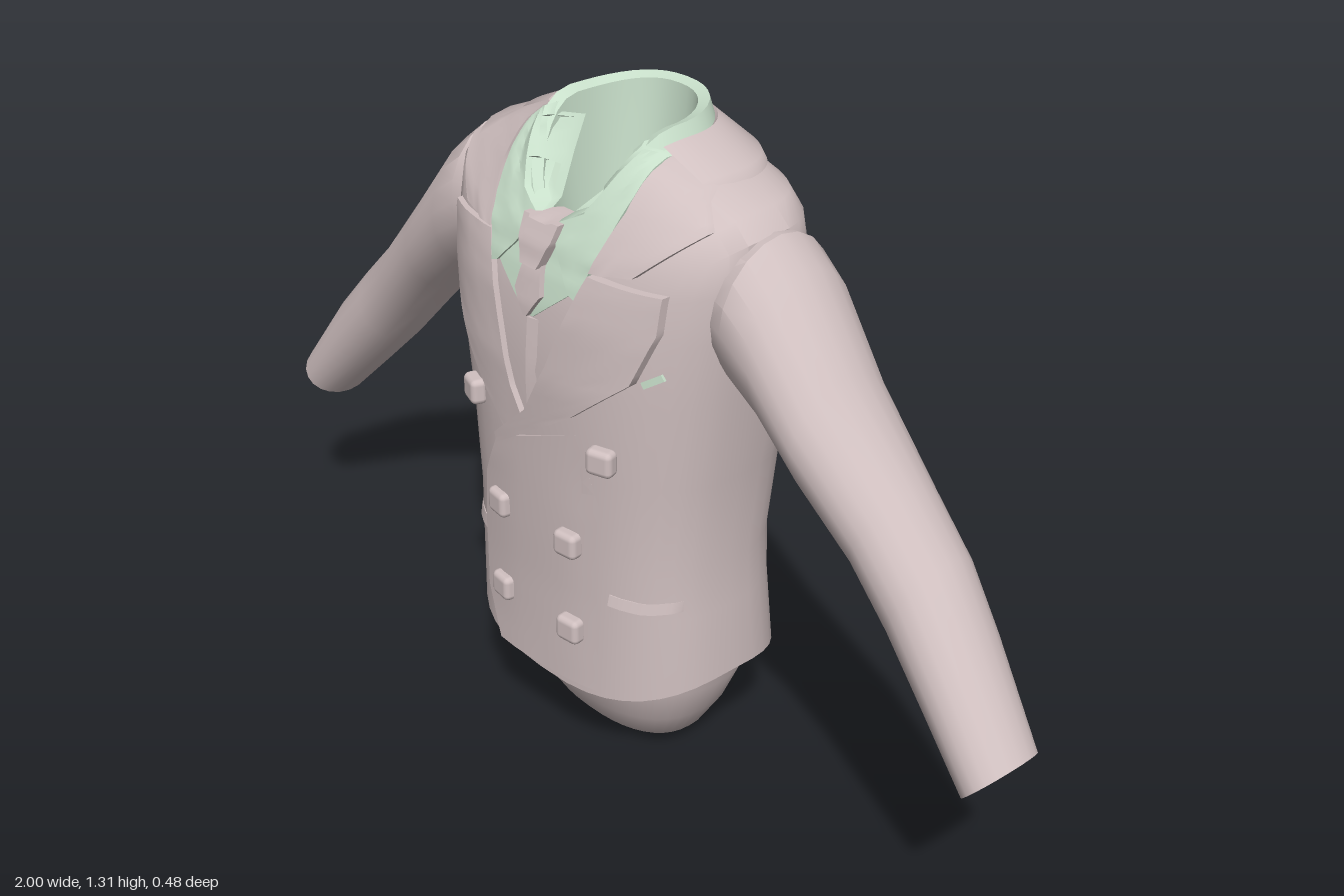
import * as THREE from 'three';
import { toCreasedNormals } from 'three/addons/utils/BufferGeometryUtils.js';
import { RoundedBoxGeometry } from 'three/addons/geometries/RoundedBoxGeometry.js';

const cloth = new THREE.MeshStandardMaterial({ color: 0xd0c0c0 });
cloth.name = 'dusty pink cloth';
const shirt = new THREE.MeshStandardMaterial({ color: 0xc8dfca });
shirt.name = 'pale green shirt';

// Skin a grid of points (rows of equal length) with quads.
function skin(rows, closed, flip) {
  const n = rows[0].length, index = [];
  for (let i = 0; i < rows.length - 1; i++) {
    for (let j = 0; j < (closed ? n : n - 1); j++) {
      const a = i * n + j, b = i * n + (j + 1) % n, c = a + n, d = b + n;
      if (flip) index.push(a, c, b, b, c, d);
      else index.push(a, b, c, b, d, c);
    }
  }
  const g = new THREE.BufferGeometry();
  g.setAttribute('position', new THREE.Float32BufferAttribute(rows.flat(2), 3));
  g.setIndex(index);
  return toCreasedNormals(g, 0.65);
}

// Rounded-square rings [half width, front z, back z, side y, front y, back y].
function rings(specs, power, from = 0, to = Math.PI * 2, sides = 40) {
  const closed = to - from > 6.2;
  const rows = specs.map(([w, zf, zb, ys, yf = ys, yb = ys]) => {
    const row = [];
    for (let j = 0; j < (closed ? sides : sides + 1); j++) {
      const t = from + (to - from) * j / sides, c = Math.cos(t), s = Math.sin(t);
      const cx = Math.sign(c) * Math.abs(c) ** (2 / power);
      const sz = Math.abs(s) ** (2 / power), mid = (zf + zb) / 2, depth = (zf - zb) / 2;
      row.push([w * cx, ys + ((s > 0 ? yf : yb) - ys) * sz * sz, mid + Math.sign(s) * depth * sz]);
    }
    return row;
  });
  return skin(rows, closed, true);
}

export function createModel() {
  const model = new THREE.Group();
  model.name = 'suitTorso';
  const add = (name, geometry, material = cloth) => {
    const mesh = new THREE.Mesh(geometry, material);
    mesh.name = name;
    model.add(mesh);
    return mesh;
  };

  // Jacket body, hem to neckline
  const body = add('jacketBody', rings([
    [0.265, 0.17, -0.195, 0.29, 0.24, 0.25],
    [0.298, 0.203, -0.213, 0.245, 0.187, 0.2],
    [0.31, 0.215, -0.225, 0.25, 0.19, 0.203],
    [0.305, 0.215, -0.205, 0.4],
    [0.3, 0.218, -0.205, 0.5],
    [0.315, 0.222, -0.22, 0.68],
    [0.34, 0.227, -0.235, 0.85],
    [0.355, 0.217, -0.232, 0.98],
    [0.368, 0.203, -0.222, 1.08, 1.04, 1.08],
    [0.362, 0.194, -0.205, 1.16, 1.06, 1.155],
    [0.33, 0.19, -0.195, 1.195, 1.075, 1.19],
    [0.25, 0.188, -0.18, 1.225, 1.085, 1.215],
    [0.155, 0.185, -0.155, 1.265, 1.095, 1.235],
  ], 2.6));

  // Rounded hips below the hem
  add('hips', rings([
    [0.002, 0.002, -0.002, 0], [0.13, 0.06, -0.09, 0.01], [0.18, 0.095, -0.125, 0.035],
    [0.22, 0.135, -0.165, 0.1], [0.255, 0.16, -0.19, 0.18], [0.275, 0.172, -0.2, 0.29],
  ], 2.4));

  // Shirt collar: outer wall, rim and hollow neck
  const neck = add('shirtCollarBand', rings([
    [0.168, 0.188, -0.165, 1.24, 1.085, 1.22], [0.138, 0.168, -0.148, 1.293, 1.125, 1.308],
    [0.116, 0.15, -0.13, 1.285, 1.12, 1.3], [0.105, 0.115, -0.115, 1.12, 1.03, 1.12],
    [0.085, 0.09, -0.095, 0.95], [0.001, 0.001, -0.001, 0.94],
  ], 2.3), shirt);

  // Jacket collar around the back of the neck
  add('jacketCollarBack', rings([
    [0.24, 0.14, -0.185, 1.2, 1.15, 1.195], [0.262, 0.15, -0.203, 1.218, 1.17, 1.212],
    [0.25, 0.15, -0.198, 1.235, 1.19, 1.228], [0.16, 0.14, -0.15, 1.277, 1.22, 1.28],
    [0.142, 0.13, -0.135, 1.255, 1.2, 1.25],
  ], 2.3, Math.PI * 0.9, Math.PI * 2.1));

  // Height of the chest surface, used to lay panels on it
  const ray = new THREE.Raycaster();
  const chestZ = (x, y) => {
    ray.set(new THREE.Vector3(x, y, 2), new THREE.Vector3(0, 0, -1));
    const hit = ray.intersectObjects([body, neck])[0];
    const z = hit ? hit.point.z : 0.1;
    if (!hit && y < 1) return 0.2;
    return y > 1 && Math.abs(x) < 0.18 ? Math.max(z, 0.185 - Math.max(0, y - 1.09) * 1.1) : z;
  };

  // Raised panel between two edge paths, following the chest
  function panel(name, edgeA, edgeB, liftA, liftB = liftA, material = cloth, mirror = 1) {
    const rows = [], across = 6, steps = (edgeA.length - 1) * 5, sink = -0.012;
    const at = (path, t) => {
      const k = Math.min(Math.floor(t), path.length - 2), f = t - k;
      return [0, 1].map((i) => path[k][i] + (path[k + 1][i] - path[k][i]) * f);
    };
    for (let i = -1; i <= steps + 1; i++) {
      const t = Math.min(Math.max(i, 0), steps) / 5, a = at(edgeA, t), b = at(edgeB, t), row = [];
      for (let j = -1; j <= across + 1; j++) {
        const u = Math.min(Math.max(j, 0), across) / across;
        const x = (a[0] + (b[0] - a[0]) * u) * mirror, y = a[1] + (b[1] - a[1]) * u;
        const rim = i < 0 || i > steps || j < 0 || j > across;
        row.push([x, y, chestZ(x, y) + (rim ? sink : liftA + (liftB - liftA) * u)]);
      }
      rows.push(row);
    }
    const [a, b, c] = [edgeA[0], edgeB[0], edgeA[edgeA.length - 1]];
    const turn = ((b[0] - a[0]) * (c[1] - a[1]) - (b[1] - a[1]) * (c[0] - a[0])) * mirror;
    add(name, skin(rows, false, turn < 0), material);
  }

  // Shirt front and waistcoat closing line
  panel('shirtFront', [[-0.13, 1.1], [-0.105, 1.03], [-0.01, 0.955]],
    [[0.13, 1.1], [0.105, 1.03], [0.01, 0.955]], 0.005, 0.005, shirt);
  panel('waistcoatPlacket', [[-0.004, 0.95], [-0.004, 0.76]], [[0.02, 0.95], [0.02, 0.76]], 0.006, 0);

  // Tie knot and blade
  panel('tieBlade', [[-0.022, 1.06], [-0.034, 1.0], [-0.004, 0.957]],
    [[0.022, 1.06], [0.034, 1.0], [0.004, 0.957]], 0.016);
  panel('tieKnot', [[-0.046, 1.13], [-0.042, 1.1], [-0.022, 1.05]],
    [[0.046, 1.13], [0.042, 1.1], [0.022, 1.05]], 0.027);

  // Front collars, pockets and sleeves on both sides
  const sleeve = [ // [top x, top y, bottom x, bottom y, front z, back z]
    [0.32, 1.16, 0.33, 0.89, 0.1, -0.14], [0.375, 1.165, 0.36, 0.875, 0.115, -0.15],
    [0.43, 1.12, 0.44, 0.83, 0.115, -0.145], [0.55, 0.97, 0.53, 0.755, 0.11, -0.125],
    [0.7, 0.81, 0.63, 0.655, 0.085, -0.115], [0.79, 0.72, 0.72, 0.56, 0.085, -0.11],
    [0.87, 0.625, 0.82, 0.46, 0.095, -0.09], [1.0, 0.45, 0.92, 0.36, 0.103, -0.06],
    [0.99, 0.445, 0.925, 0.37, 0.092, -0.05], [0.87, 0.6, 0.83, 0.5, 0.075, -0.065],
    [0.85, 0.55, 0.85, 0.549, 0.006, 0.005],
  ];
  for (const s of [1, -1]) {
    const side = s > 0 ? 'left' : 'right';
    panel(side + 'ShirtCollarPoint', [[0.122, 1.275], [0.075, 1.2], [0.022, 1.125], [0.06, 1.07], [0.1, 1.025]],
      [[0.165, 1.255], [0.163, 1.2], [0.15, 1.13], [0.132, 1.07], [0.115, 1.02]], 0.012, 0.012, shirt, s);
    panel(side + 'JacketCollarFront', [[0.168, 1.255], [0.165, 1.18], [0.135, 1.075]],
      [[0.25, 1.225], [0.315, 1.175], [0.225, 1.09]], 0.016, 0.016, cloth, s);
    panel(side + 'PocketFlap', [[0.18, 0.44], [0.24, 0.435], [0.285, 0.44]],
      [[0.18, 0.418], [0.24, 0.413], [0.285, 0.418]], 0.002, 0.007, cloth, s);

    const rows = sleeve.map(([tx, ty, bx, by, zf, zb]) => Array.from({ length: 20 }, (_, j) => {
      const t = j / 20 * Math.PI * 2, c = Math.cos(t) / 2, k = Math.sin(t) / 2;
      return [s * ((tx + bx) / 2 + (tx - bx) * c), (ty + by) / 2 + (ty - by) * c, (zf + zb) / 2 + (zf - zb) * k];
    }));
    add(side + 'Sleeve', skin(rows, true, s < 0));
  }

  // Lapels and the overlapping double-breasted front
  panel('rightLapel', [[-0.135, 1.07], [-0.1, 0.98], [-0.075, 0.9], [-0.045, 0.8], [-0.005, 0.73]],
    [[-0.285, 1.07], [-0.28, 1.0], [-0.25, 0.9], [-0.17, 0.8], [-0.07, 0.7]], 0.012);
  panel('frontOverlap', [[-0.1, 0.67], [-0.15, 0.57], [-0.165, 0.45], [-0.165, 0.3], [-0.12, 0.2]],
    [[0.12, 0.76], [0.18, 0.57], [0.18, 0.45], [0.18, 0.3], [0.18, 0.21]], 0.012, 0);
  panel('leftLapel', [[0.135, 1.07], [0.1, 0.98], [0.06, 0.88], [0.0, 0.77], [-0.1, 0.68]],
    [[0.285, 1.07], [0.28, 1.0], [0.24, 0.9], [0.12, 0.8], [-0.095, 0.66]], 0.017);
  panel('pocketSquare', [[0.25, 0.905], [0.28, 0.925]], [[0.255, 0.893], [0.285, 0.913]], 0.005, 0.005, shirt);

  // Six square buttons
  for (const [x, y] of [[0.18, 0.73], [-0.185, 0.73], [0.097, 0.525], [-0.1, 0.525], [0.097, 0.335], [-0.1, 0.335]]) {
    const button = add('button', new RoundedBoxGeometry(0.055, 0.052, 0.034, 2, 0.012));
    button.position.set(x, y, chestZ(x, y) + 0.009);
    button.rotation.y = Math.atan((chestZ(x - 0.03, y) - chestZ(x + 0.03, y)) / 0.06);
  }
  return model;
}
